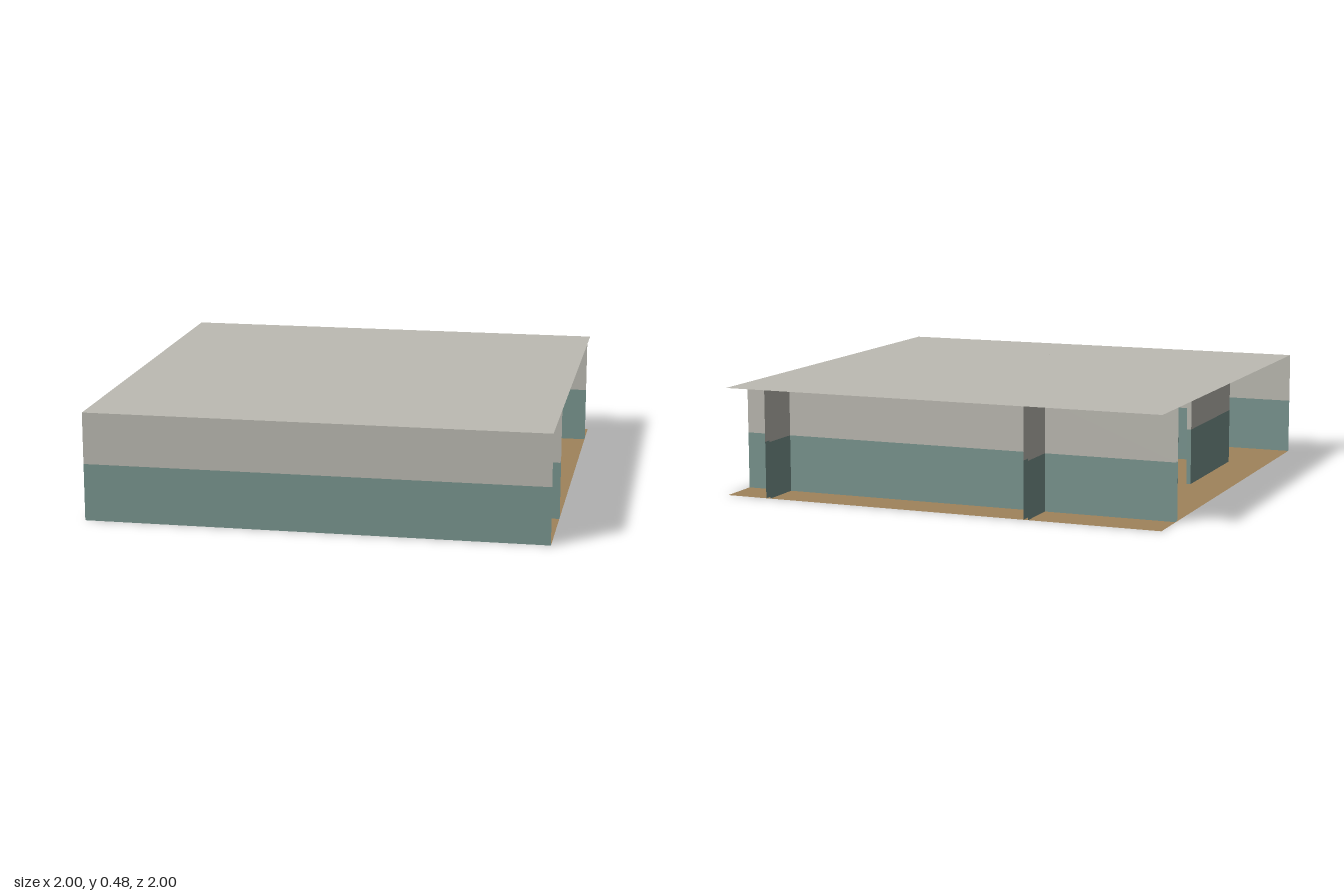
import * as THREE from 'three';

const HEIGHT = 0.476;
const DADO = 0.25;

function makeMaterial(name, color) {
  const m = new THREE.MeshStandardMaterial({ color, side: THREE.DoubleSide });
  m.name = name;
  return m;
}

export function createModel() {
  const model = new THREE.Group();
  model.name = 'corridorFloorPlan';
  const plaster = makeMaterial('greyPlaster', 0xbdbbb3);
  const paint = makeMaterial('tealPaint', 0x7a9690);
  const boards = makeMaterial('brownFloor', 0xa0835b);

  // One upright panel between two plan points [x, z]
  function panel(name, a, b, y0, y1, material) {
    const dx = b[0] - a[0], dz = b[1] - a[1];
    const mesh = new THREE.Mesh(new THREE.PlaneGeometry(Math.hypot(dx, dz), y1 - y0), material);
    mesh.position.set((a[0] + b[0]) / 2, (y0 + y1) / 2, (a[1] + b[1]) / 2);
    mesh.rotation.y = Math.atan2(-dz, dx);
    mesh.name = name;
    return mesh;
  }

  // Two-tone wall surface following a plan path
  function wall(name, path) {
    const group = new THREE.Group();
    group.name = name;
    for (let i = 0; i < path.length - 1; i++) {
      group.add(panel('lowerWall', path[i], path[i + 1], 0, DADO, paint));
      group.add(panel('upperWall', path[i], path[i + 1], DADO, HEIGHT, plaster));
    }
    model.add(group);
  }

  // Floor and ceiling sheets
  function slab(name, y, turn, material) {
    const mesh = new THREE.Mesh(new THREE.PlaneGeometry(2, 2), material);
    mesh.rotation.x = turn;
    mesh.position.y = y;
    mesh.name = name;
    model.add(mesh);
  }
  slab('floor', 0, -Math.PI / 2, boards);
  slab('ceiling', HEIGHT, -Math.PI / 2, plaster);

  // Outer wall of the front corridor
  wall('frontWall', [[-1, 1], [1, 1]]);

  // Hollow walls around the main room, with a doorway to the side corridor
  wall('corridorWall', [[1, 0.61], [-0.81, 0.61], [-0.81, 0], [-0.79, 0], [-0.79, 0.59], [1, 0.59]]);
  wall('roomBackWall', [[-1, -0.79], [-0.81, -0.79], [-0.81, -0.19], [-0.79, -0.19], [-0.79, -0.79], [1, -0.79]]);

  // Short pier inside the room, facing the doorway
  wall('roomPier', [[-0.31, -0.19], [-0.29, -0.19], [-0.29, 0], [-0.31, 0], [-0.31, -0.19]]);

  // Bays along the back, separated by hollow partitions
  wall('backBayRight', [[-1, -0.81], [-0.42, -0.81], [-0.42, -1]]);
  wall('backBayMiddle', [[-0.40, -1], [-0.40, -0.81], [0.79, -0.81], [0.79, -1]]);
  wall('backBayLeft', [[0.81, -1], [0.81, -0.81], [1, -0.81]]);

  return model;
}
